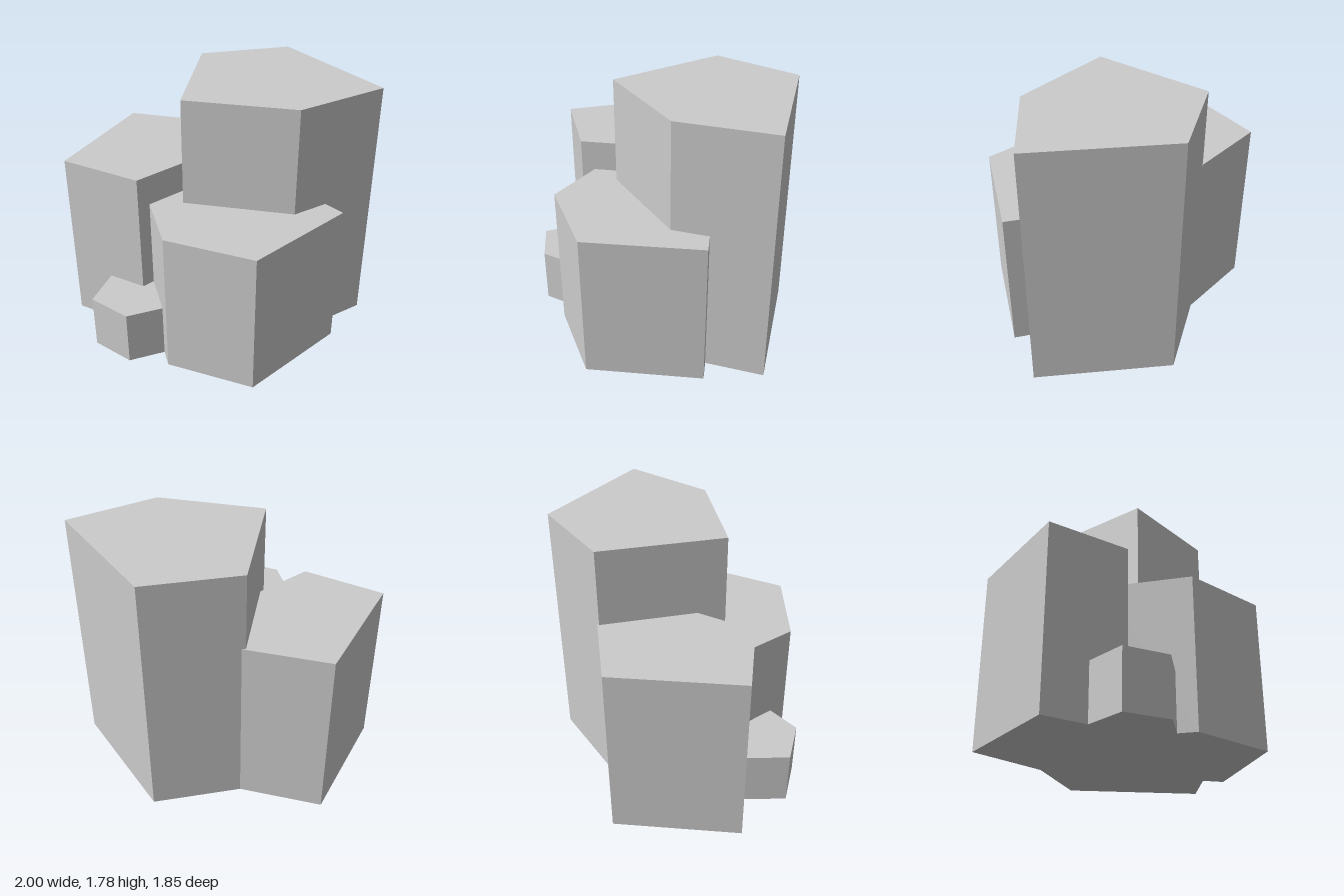
import * as THREE from 'three';

const material = new THREE.MeshStandardMaterial({ color: 0xcccccc, flatShading: true });

// Upright prism from a footprint of [x, z] corners
function column(name, height, corners) {
  const shape = new THREE.Shape(corners.map(([x, z]) => new THREE.Vector2(x, -z)));
  const geometry = new THREE.ExtrudeGeometry(shape, { depth: height, bevelEnabled: false });
  geometry.rotateX(-Math.PI / 2);
  const mesh = new THREE.Mesh(geometry, material);
  mesh.name = name;
  return mesh;
}

export function createModel() {
  const group = new THREE.Group();
  group.name = 'rockColumns';
  group.add(
    // tallest column
    column('tallColumn', 1.785, [[0.09, -0.62], [0.73, -0.55], [1, 0.37], [0.355, 0.515], [-0.295, 0.135]]),
    // column at the back right
    column('backColumn', 1.255, [[-0.375, -0.925], [-1, -0.31], [-0.6, 0.115], [0.05, -0.135], [0.2, -0.565]]),
    // column at the front
    column('frontColumn', 1.04, [[-0.545, 0.525], [-0.07, 0.92], [0.665, 0.6], [0.38, -0.065], [-0.506, -0.05]]),
    // low stump at the side
    column('lowColumn', 0.395, [[-0.97, 0.145], [-0.79, 0.4], [-0.48, 0.395], [-0.38, 0.1], [-0.735, -0.15]])
  );
  return group;
}
